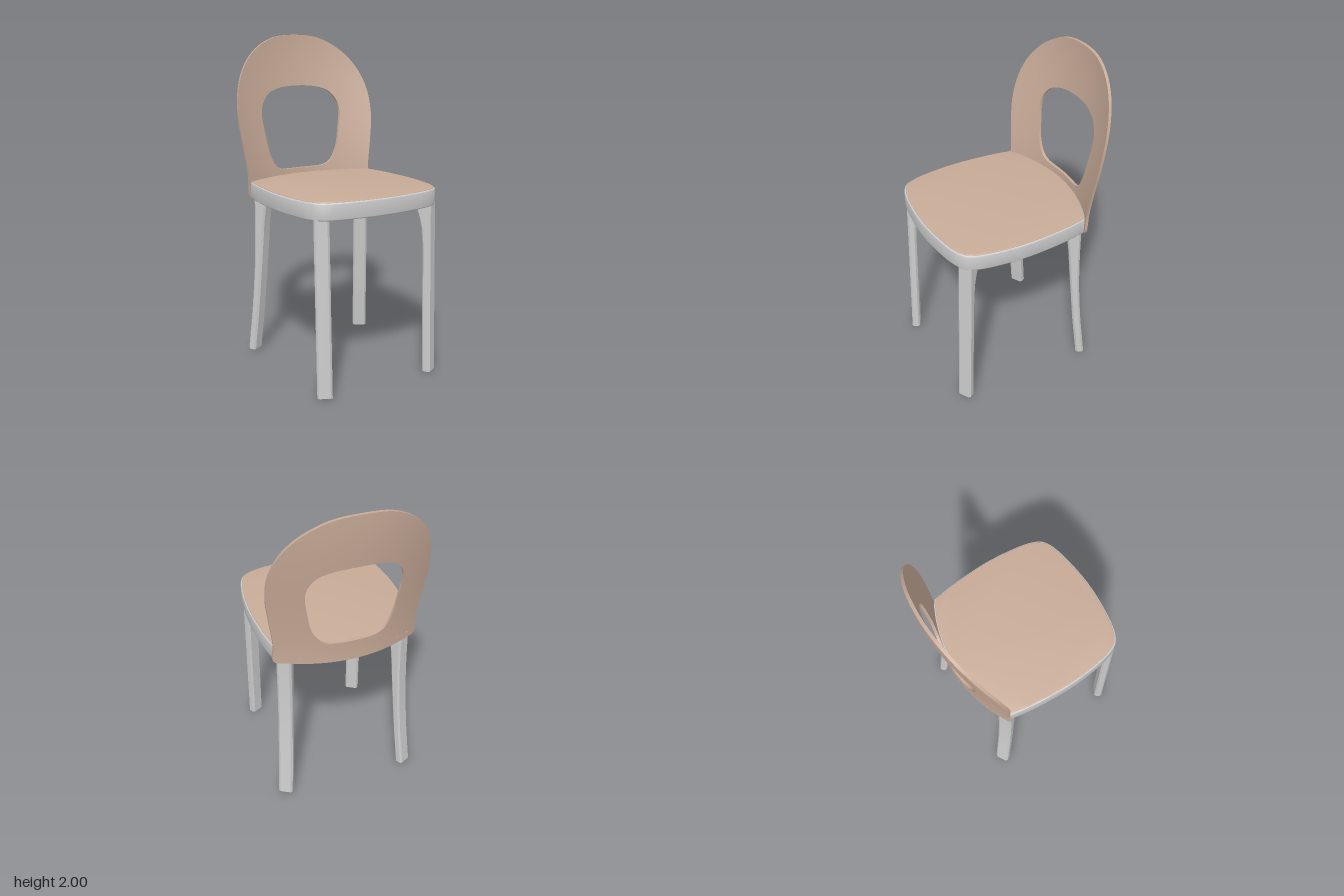
import * as THREE from 'three';
import { toCreasedNormals } from 'three/addons/utils/BufferGeometryUtils.js';

const grey = new THREE.MeshStandardMaterial({ color: 0xcccccc });
const brown = new THREE.MeshStandardMaterial({ color: 0xc8ab98 });

// Skin over rows of points; each row is a closed loop of equal length
function loft(rows, crease) {
  const n = rows[0].length, pos = [], index = [];
  rows.forEach(r => r.forEach(p => pos.push(p.x, p.y, p.z)));
  const tri = (a, b, c) => {
    const [p, q, r] = [a, b, c].map(i => rows[Math.floor(i / n)][i % n]);
    if (!p.equals(q) && !q.equals(r) && !r.equals(p)) index.push(a, b, c);
  };
  for (let j = 0; j < rows.length - 1; j++) {
    for (let i = 0; i < n; i++) {
      const k = (i + 1) % n, a = j * n, b = a + n;
      tri(a + i, a + k, b + k);
      tri(a + i, b + k, b + i);
    }
  }
  const g = new THREE.BufferGeometry();
  g.setAttribute('position', new THREE.Float32BufferAttribute(pos, 3));
  g.setIndex(index);
  return toCreasedNormals(g, crease);
}

function addMesh(parent, name, geometry, material) {
  const m = new THREE.Mesh(geometry, material);
  m.name = name;
  parent.add(m);
  return m;
}

// Bent sheet of the backrest: z of its rear face at (x, y)
const THICK = 0.018;
function bendZ(x, y) {
  const k = 0.62 - 0.16 * (y - 1.05);
  return -0.438 - 0.107 * THREE.MathUtils.smoothstep(y, 1.0, 2.05) + k * x * x;
}

// Closed curve from half an outline, mirrored across x = 0
function mirroredCurve(half) {
  const pts = half.map(([x, y]) => new THREE.Vector3(x, y, 0));
  for (let i = half.length - 2; i > 0; i--) pts.push(new THREE.Vector3(-half[i][0], half[i][1], 0));
  return new THREE.CatmullRomCurve3(pts, true, 'centripetal');
}

// Backrest: ring between outer outline and opening, front and back skins
function backrestGeometry() {
  const outer = mirroredCurve([[0, 1.02], [0.2, 1.02], [0.36, 1.02], [0.43, 1.02], [0.44, 1.03], [0.437, 1.14],
    [0.457, 1.3], [0.478, 1.48], [0.465, 1.65], [0.41, 1.79], [0.315, 1.9], [0.17, 1.98], [0, 2.0]]);
  const inner = mirroredCurve([[0, 1.155], [0.09, 1.155], [0.15, 1.16], [0.19, 1.178], [0.22, 1.215], [0.25, 1.29],
    [0.27, 1.4], [0.284, 1.5], [0.272, 1.57], [0.225, 1.635], [0.155, 1.665], [0.08, 1.677], [0, 1.68]]);
  const N = 120, M = 8;
  const row = (s, front) => Array.from({ length: N }, (_, i) => {
    const p = inner.getPoint(i / N).lerp(outer.getPoint(i / N), s);
    p.z = bendZ(p.x, p.y) + (front ? THICK : 0);
    return p;
  });
  const rows = [];
  for (let j = 0; j <= M; j++) rows.push(row(j / M, false));
  for (let j = M; j >= 0; j--) rows.push(row(j / M, true));
  rows.push(row(0, false));
  return loft(rows, 0.7);
}

// Seat outline in (x, -z); the rear edge follows the backrest
function seatShape(inset) {
  const side = [[0, 0.545], [0.15, 0.536], [0.29, 0.514], [0.375, 0.482], [0.42, 0.43], [0.45, 0.32],
    [0.468, 0.14], [0.466, -0.02], [0.452, -0.18], [0.432, -0.3]];
  const curve = new THREE.SplineCurve([...side.slice(1).reverse().map(([x, z]) => [-x, z]), ...side]
    .map(([x, z]) => new THREE.Vector2(x, -z)));
  const pts = curve.getPoints(90);
  for (let i = 1; i < 24; i++) {
    const x = 0.432 * (1 - i / 12);
    pts.push(new THREE.Vector2(x, -(bendZ(x, 1.08) + THICK)));
  }
  const s = 1 - inset / 0.47;
  return new THREE.Shape(pts.map(p => p.multiplyScalar(s)));
}

// Slab with rounded edges between two heights, sloping down to the rear
function slab(inset, y0, y1, bevel) {
  const g = new THREE.ExtrudeGeometry(seatShape(inset), {
    depth: y1 - y0 - 2 * bevel, bevelEnabled: true, bevelSize: bevel, bevelOffset: -bevel,
    bevelThickness: bevel, bevelSegments: 3,
  });
  g.rotateX(-Math.PI / 2).translate(0, y0 + bevel, 0);
  const p = g.attributes.position;
  for (let i = 0; i < p.count; i++) p.setY(i, p.getY(i) + 0.016 * p.getZ(i));
  return toCreasedNormals(g, 0.6);
}

// Leg: chamfered section, turned diagonally, widening inwards under the seat
// levels: [y, centre x, centre z, inward flare]
function legGeometry(levels, angle, side) {
  const t = angle * side, hw = 0.044, hd = 0.026, c = 0.011;
  const rows = levels.map(([y, x, z, flare]) => [
    [-hw + c, hd], [hw - c, hd], [hw, hd - c], [hw, -hd - flare + c],
    [hw - c, -hd - flare], [-hw + c, -hd - flare], [-hw, -hd - flare + c], [-hw, hd - c],
  ].map(([u, v]) => new THREE.Vector3(
    side * x + u * Math.cos(t) + v * Math.sin(t), y, z - u * Math.sin(t) + v * Math.cos(t))));
  const cap = ([y, x, z]) => rows[0].map(() => new THREE.Vector3(side * x, y, z));
  return loft([cap(levels[0]), ...rows, cap(levels[levels.length - 1])], 0.5);
}

export function createModel() {
  const chair = new THREE.Group();
  chair.name = 'chair';

  addMesh(chair, 'seatFrame', slab(0, 1.026, 1.126, 0.008), grey);
  addMesh(chair, 'seatPad', slab(0.007, 1.11, 1.131, 0.004), brown);
  addMesh(chair, 'backrest', backrestGeometry(), brown);

  // Legs: straight front pair, rear pair curving outwards
  const front = [[0, 0.368, 0.481, 0], [0.8, 0.368, 0.455, 0], [0.9, 0.368, 0.452, 0.008],
    [0.96, 0.368, 0.45, 0.022], [1.0, 0.368, 0.449, 0.036], [1.05, 0.368, 0.448, 0.058]];
  const rear = [[0.015, 0.402, -0.353, 0], [0.15, 0.393, -0.34, 0], [0.3, 0.384, -0.324, 0], [0.45, 0.377, -0.312, 0],
    [0.6, 0.371, -0.303, 0.003], [0.75, 0.368, -0.298, 0.01], [0.87, 0.367, -0.296, 0.018],
    [0.96, 0.367, -0.295, 0.03], [1.04, 0.367, -0.295, 0.045]];
  for (const side of [1, -1]) {
    const label = side > 0 ? 'Left' : 'Right';
    addMesh(chair, 'front' + label + 'Leg', legGeometry(front, Math.PI / 6, side), grey);
    addMesh(chair, 'rear' + label + 'Leg', legGeometry(rear, Math.PI * 5 / 6, side), grey);

    // Small screws holding the backrest to the frame
    for (const x of [0.3, 0.37]) {
      const screw = addMesh(chair, 'screw' + label, new THREE.CylinderGeometry(0.007, 0.007, 0.006, 12), brown);
      const y = 1.06, slope = 2 * 0.62 * x * side;
      screw.position.set(side * x, y, bendZ(x, y));
      screw.quaternion.setFromUnitVectors(new THREE.Vector3(0, 1, 0), new THREE.Vector3(slope, 0, -1).normalize());
    }
  }
  return chair;
}
